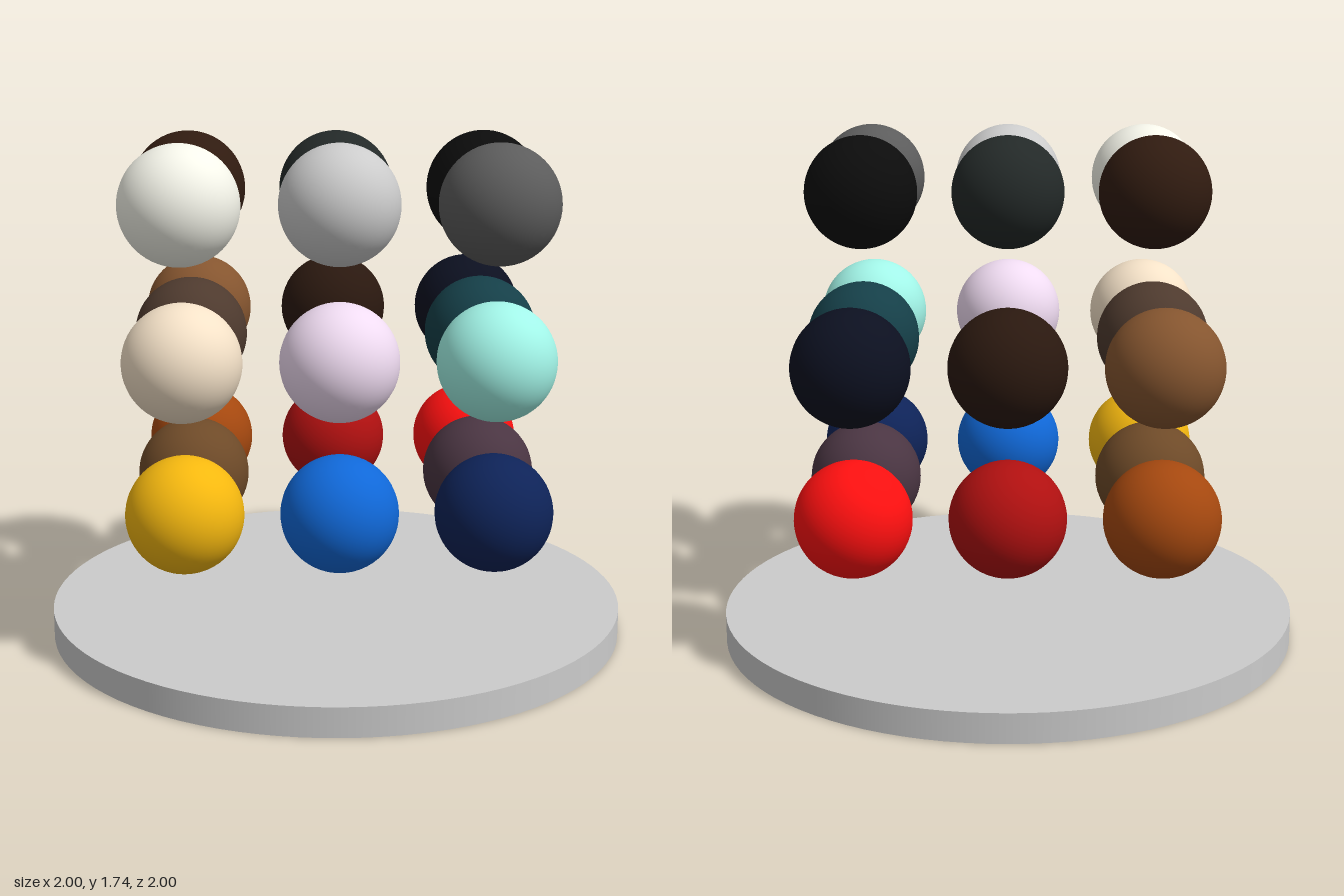
import * as THREE from 'three';

// Ball colours by layer (front to back), by row (bottom to top), left to right in x; null is an empty place
const LAYERS = [
  { name: 'front', z: 0.5, rows: [
    [0xf5b80f, 0x1068d8, 0x0e2358],
    [0xf5e2c8, 0xf0dcf2, 0xa2f5e8],
    [0xf5f5ea, 0xc4c4c4, 0x5c5c5c],
  ] },
  { name: 'middle', z: 0, rows: [
    [0x6e4a28, null, 0x4a3542],
    [0x4e3a2e, null, 0x153f48],
    [0x301b10, 0x232928, 0x0c0c0c],
  ] },
  { name: 'back', z: -0.5, rows: [
    [0xa5480f, 0xb01010, 0xff1010],
    [0x85552f, 0x2a180f, 0x0c1020],
  ] },
];
const SPACING = 0.5, RADIUS = 0.192, BOTTOM_Y = 0.552;

export function createModel() {
  const model = new THREE.Group();
  model.name = 'ballDisplay';

  // Round base plate
  const base = new THREE.Mesh(
    new THREE.CylinderGeometry(1, 1, 0.1, 96),
    new THREE.MeshStandardMaterial({ color: 0xcccccc })
  );
  base.name = 'basePlate';
  base.position.y = 0.05;
  model.add(base);

  // Floating grid of coloured balls
  const ballGeometry = new THREE.SphereGeometry(RADIUS, 48, 32);
  for (const { name, z, rows } of LAYERS) {
    const layer = new THREE.Group();
    layer.name = `${name}Balls`;
    rows.forEach((row, j) => row.forEach((color, i) => {
      if (color === null) return;
      const ball = new THREE.Mesh(ballGeometry, new THREE.MeshStandardMaterial({ color }));
      ball.name = `${name}BallRow${j + 1}Column${i + 1}`;
      ball.position.set((i - 1) * SPACING, BOTTOM_Y + j * SPACING, z);
      layer.add(ball);
    }));
    model.add(layer);
  }
  return model;
}
